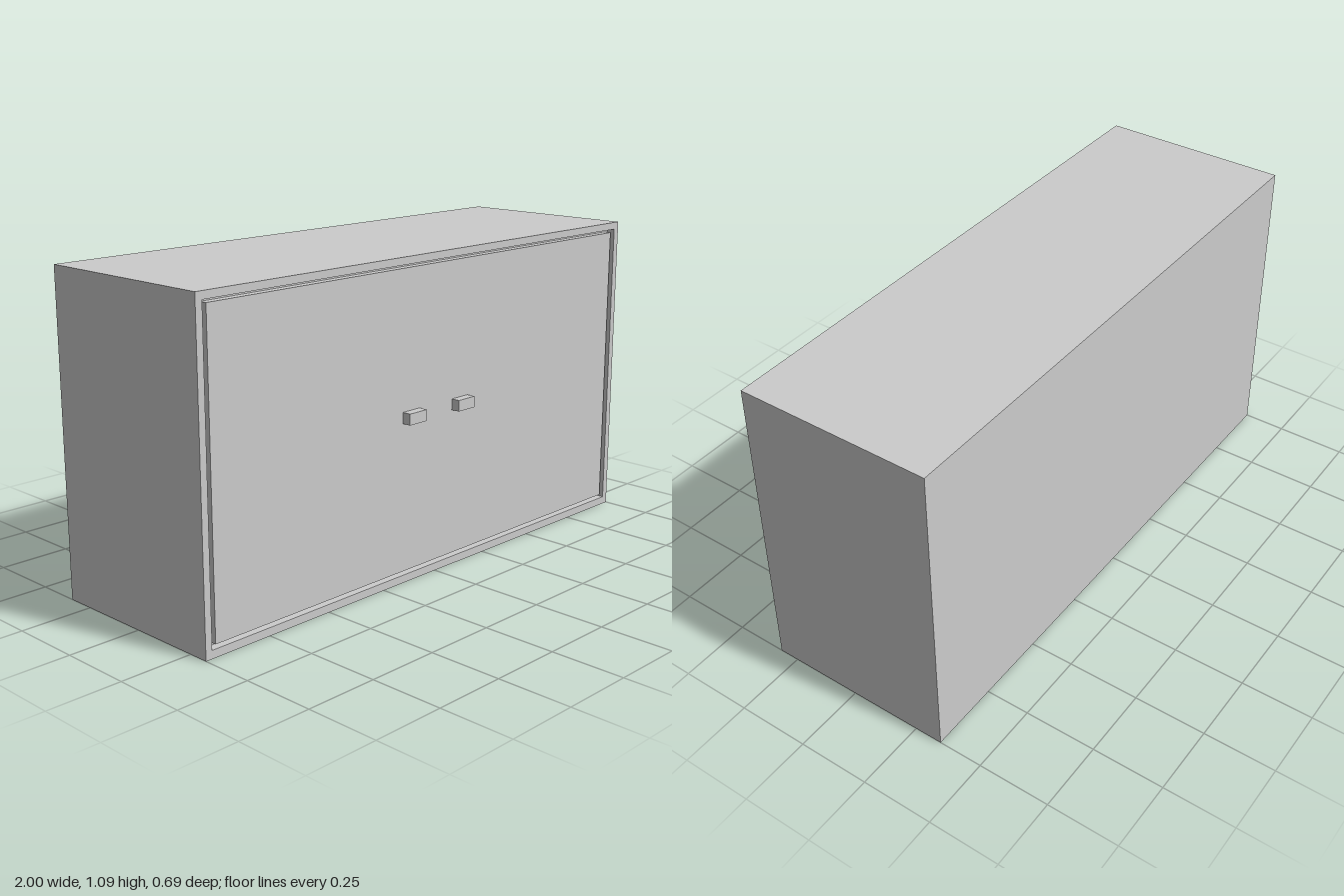
import * as THREE from 'three';

const H = 1.085, BACK = -0.347, FRONT = 0.32, GROOVE = 0.03;

export function createModel() {
  const group = new THREE.Group();
  const mat = new THREE.MeshStandardMaterial({ color: 0xcccccc, flatShading: true });

  const add = (name, geometry) => {
    const mesh = new THREE.Mesh(geometry, mat);
    mesh.name = name;
    group.add(mesh);
    return mesh;
  };
  // Box given by its minimum and maximum corners
  const box = (name, x0, x1, y0, y1, z0, z1) =>
    add(name, new THREE.BoxGeometry(x1 - x0, y1 - y0, z1 - z0))
      .position.set((x0 + x1) / 2, (y0 + y1) / 2, (z0 + z1) / 2);

  const rect = (Type, x, y0, y1) => new Type([
    new THREE.Vector2(-x, y0), new THREE.Vector2(x, y0),
    new THREE.Vector2(x, y1), new THREE.Vector2(-x, y1),
  ]);

  // Cabinet shell: thin walls around an opening at the front
  const outline = rect(THREE.Shape, 1, 0, H);
  outline.holes.push(rect(THREE.Path, 0.976, 0.027, 1.06));
  add('cabinetShell', new THREE.ExtrudeGeometry(outline, { depth: FRONT - BACK, bevelEnabled: false }))
    .position.z = BACK;

  // Inner body closes the back and forms the floor of the groove
  box('innerBody', -0.976, 0.976, 0.027, 1.06, BACK, FRONT - GROOVE);

  // Front panel, set inside the shell with a narrow groove all round
  box('frontPanel', -0.959, 0.959, 0.039, 1.049, FRONT - GROOVE, FRONT - 0.004);

  // Pair of handles
  for (const [side, s] of [['right', -1], ['left', 1]]) {
    box(side + 'Handle', s * 0.12 - 0.04, s * 0.12 + 0.04, 0.545, 0.583, FRONT - 0.004, 0.347);
  }
  return group;
}
